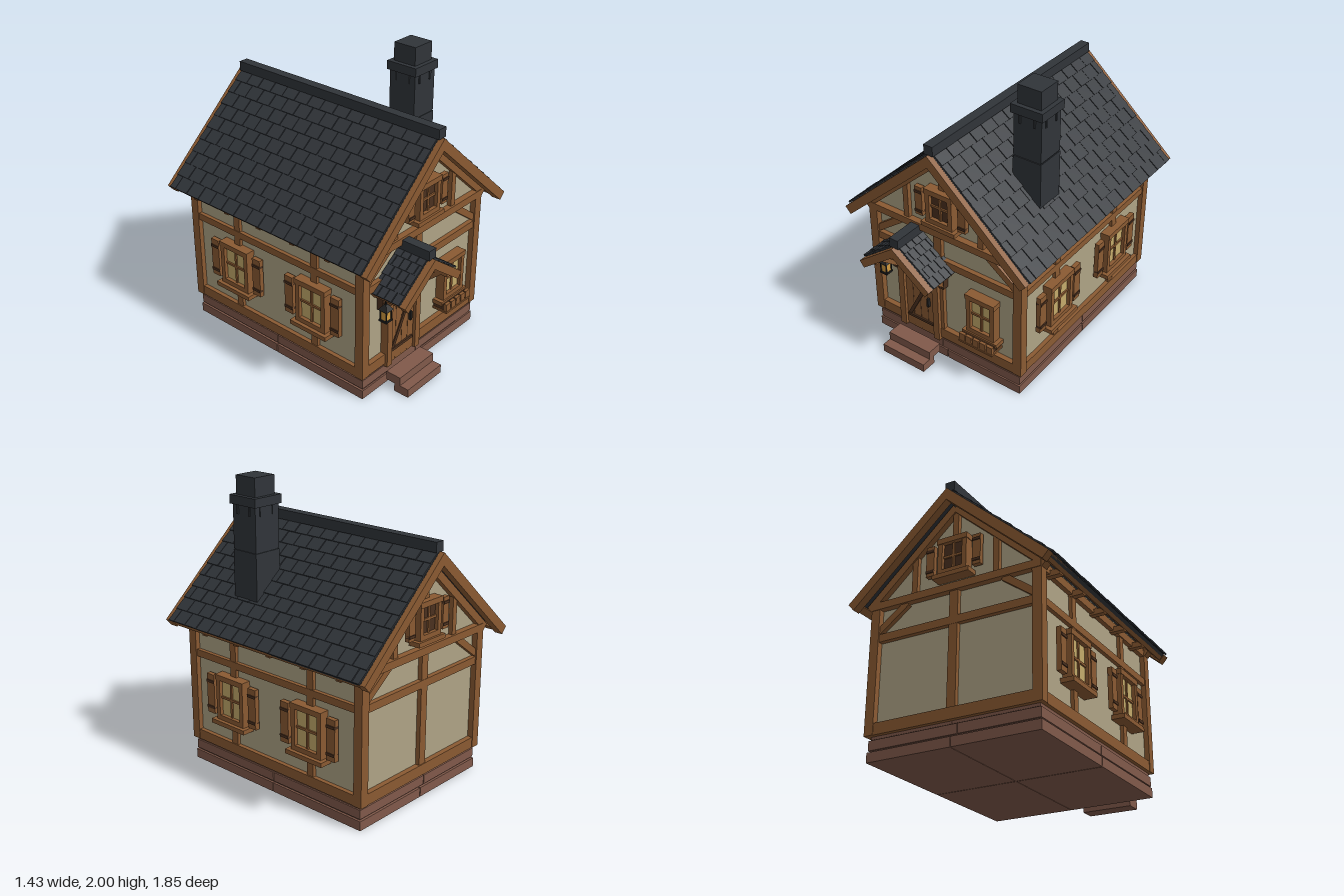
import * as THREE from 'three';
import { mergeGeometries } from 'three/addons/utils/BufferGeometryUtils.js';

const mat = (color) => new THREE.MeshStandardMaterial({ color, flatShading: true });
const WOOD = mat(0x8a5a32), DARK = mat(0x4a301f), PLASTER = mat(0xaea385), SLATE = mat(0x303439),
  STONE = mat(0x80594a), GLASS = mat(0xc4ab6b), IRON = mat(0x222222), GLOW = mat(0xd09a40);

function group(parent, name, x = 0, y = 0, z = 0, ry = 0) {
  const g = new THREE.Group();
  g.name = name;
  g.position.set(x, y, z);
  g.rotation.y = ry;
  parent.add(g);
  return g;
}

// Box given by its extents
function box(parent, name, m, x0, x1, y0, y1, z0, z1) {
  const mesh = new THREE.Mesh(new THREE.BoxGeometry(Math.abs(x1 - x0), y1 - y0, z1 - z0), m);
  mesh.position.set((x0 + x1) / 2, (y0 + y1) / 2, (z0 + z1) / 2);
  mesh.name = name;
  parent.add(mesh);
  return mesh;
}

// Slanted beam in the xy plane between two points
function beam(parent, name, m, ax, ay, bx, by, width, z0, z1) {
  const len = Math.hypot(bx - ax, by - ay);
  const mesh = box(parent, name, m, -len / 2, len / 2, -width / 2, width / 2, z0, z1);
  mesh.position.x = (ax + bx) / 2;
  mesh.position.y = (ay + by) / 2;
  mesh.rotation.z = Math.atan2(by - ay, bx - ax);
  return mesh;
}

// Pitched roof: deck, staggered shingles, barge boards, eave boards, ridge cap
function roof(parent, name, o) {
  const r = group(parent, name, o.x, o.y, 0);
  for (const s of [1, -1]) {
    const side = group(r, name + 'Slope');
    side.rotation.z = -s * o.angle;
    box(side, 'deck', SLATE, 0, s * o.len, -0.025, 0, o.z0, o.z1);
    const step = o.len / o.rows, tw = (o.z1 - o.z0) / o.cols, tiles = [];
    for (let i = 0; i < o.rows; i++) {
      const shift = (i % 2) * tw / 2;
      for (let j = 0; j <= o.cols; j++) {
        const a = Math.max(o.z0, o.z0 + j * tw - shift), b = Math.min(o.z1, o.z0 + (j + 1) * tw - shift);
        if (b - a < 0.01) continue;
        const g = new THREE.BoxGeometry(step * 1.12, 0.011, b - a - 0.005);
        g.rotateZ(s * 0.07);
        g.translate(s * (i + 0.5) * step, 0.006 + ((i * 7 + j * 5) % 3) * 0.0012, (a + b) / 2);
        tiles.push(g);
      }
    }
    const shingles = new THREE.Mesh(mergeGeometries(tiles), SLATE);
    shingles.name = 'shingles';
    side.add(shingles);
    for (const [a, b] of o.barges) box(side, 'bargeBoard', WOOD, 0, s * (o.len + 0.005), -o.barge, -0.001, a, b);
    box(side, 'eaveBoard', WOOD, s * (o.len - 0.045), s * o.len, -0.05, -0.002, o.barges[0][0], o.barges.at(-1)[1]);
  }
  box(r, 'ridgeCap', SLATE, -0.033, 0.033, -0.005, 0.06, o.z0, o.z1 + 0.02);
}

// Window on a wall facing +z; cy is the centre, w and h are half sizes of the frame
function windowUnit(parent, cx, cy, w, h, { shutters = true, sillDepth = 0.09, glass = GLASS } = {}) {
  const g = group(parent, 'window', cx, cy, 0), f = 0.032;
  box(g, 'glass', glass, -w + f, w - f, -h + f, h - f, 0, 0.04);
  for (const s of [1, -1]) box(g, 'frameSide', WOOD, s * w, s * (w - f), -h, h, 0, 0.065);
  box(g, 'frameTop', WOOD, -w - 0.005, w + 0.005, h - f, h + 0.004, 0, 0.07);
  box(g, 'frameBottom', WOOD, -w, w, -h, -h + f, 0, 0.065);
  box(g, 'mullion', WOOD, -0.008, 0.008, -h + f, h - f, 0, 0.05);
  box(g, 'transom', WOOD, -w + f, w - f, -0.008, 0.008, 0, 0.05);
  box(g, 'sill', WOOD, -w - 0.028, w + 0.028, -h - 0.03, -h, 0, sillDepth);
  if (shutters) for (const s of [1, -1]) {
    const a = s * (w + 0.035), b = s * (w + 0.035 + w * 0.56);
    box(g, 'shutter', WOOD, a, b, -h + 0.015, h - 0.02, 0.02, 0.052);
    for (const y of [-h * 0.62, h * 0.55]) box(g, 'shutterBand', DARK, a, b, y - 0.009, y + 0.009, 0.02, 0.058);
  }
}

// Timber framing shared by the front and back walls
function facade(parent, name, z, ry, postX) {
  const g = group(parent, name, 0, 0, z, ry), t = 0.04;
  box(g, 'sillBeam', WOOD, -0.598, 0.598, 0.16, 0.235, -0.02, t - 0.004);
  box(g, 'middleRail', WOOD, -0.56, 0.56, 0.76, 0.812, -0.02, t - 0.008);
  box(g, 'topRail', WOOD, -0.598, 0.598, 0.98, 1.03, -0.02, t + 0.004);
  box(g, 'middlePost', WOOD, postX - 0.03, postX + 0.03, 0.2, 1.0, -0.02, t - 0.01);
  box(g, 'gableMiddlePost', WOOD, -0.02, 0.02, 1.3, 1.56, -0.02, t - 0.01);
  for (const s of [1, -1]) {
    beam(g, 'brace', WOOD, s * 0.34, 0.985, s * 0.55, 0.83, 0.045, -0.02, t - 0.01);
    box(g, 'gablePost', WOOD, s * 0.27, s * 0.31, 1.02, 1.32, -0.02, t - 0.01);
    beam(g, 'gableRafter', WOOD, 0, 1.555, s * 0.62, 0.997, 0.05, -0.02, t);
  }
  windowUnit(g, 0, 1.212, 0.102, 0.12, { sillDepth: 0.08, glass: DARK });
  return g;
}

export function createModel() {
  const house = new THREE.Group();
  house.name = 'cottage';

  // Stone foundation in courses, split by joints
  const base = group(house, 'foundation');
  box(base, 'foundationCore', STONE, -0.57, 0.57, 0.002, 0.17, -0.785, 0.675);
  [[0, 0.063, 0.585], [0.074, 0.136, 0.58], [0.142, 0.17, 0.57]].forEach(([y0, y1, w], i) => {
    const d = w - 0.585, jx = i === 1 ? -0.04 : 0;
    for (const [x0, x1] of [[-w, jx - 0.003], [jx + 0.003, w]])
      for (const [z0, z1] of [[-0.802 - d, -0.063], [-0.057, 0.685 + d]])
        box(base, 'foundationCourse', STONE, x0, x1, y0, y1, z0, z1);
  });

  // Plaster body with its gables
  const outline = new THREE.Shape([[-0.567, 0.16], [0.567, 0.16], [0.567, 1.07], [0, 1.585], [-0.567, 1.07]]
    .map(([x, y]) => new THREE.Vector2(x, y)));
  const body = new THREE.Mesh(new THREE.ExtrudeGeometry(outline, { depth: 1.435, bevelEnabled: false }), PLASTER);
  body.position.z = -0.78;
  body.name = 'plasterWalls';
  house.add(body);
  for (const s of [1, -1]) for (const [z0, z1] of [[-0.82, -0.757], [0.632, 0.695]])
    box(house, 'cornerPost', WOOD, s * 0.537, s * 0.6, 0.16, 1.03, z0, z1);

  const front = facade(house, 'frontWall', 0.655, 0, -0.05);
  facade(house, 'backWall', -0.78, Math.PI, 0);

  // Side walls; local x runs along the wall
  for (const s of [1, -1]) {
    const g = group(house, s > 0 ? 'leftWall' : 'rightWall', s * 0.565, 0, -0.0625, s * Math.PI / 2);
    box(g, 'sillBeam', WOOD, -0.74, 0.74, 0.16, 0.23, -0.02, 0.031);
    box(g, 'middleRail', WOOD, -0.72, 0.72, 0.762, 0.81, -0.02, 0.028);
    box(g, 'topRail', WOOD, -0.74, 0.74, 0.975, 1.03, -0.02, 0.032);
    for (const z of [0.285, -0.395]) {
      const x = -s * (z + 0.0625);
      box(g, 'wallPost', WOOD, x - 0.026, x + 0.026, 0.2, 1.0, -0.02, 0.025);
      windowUnit(g, x, 0.545, 0.124, 0.155);
    }
    for (let i = 0; i < 5; i++) {
      const x = -s * (0.525 - i * 0.289);
      box(g, 'rafterTail', WOOD, x - 0.02, x + 0.02, 0.962, 1.0, 0, 0.1);
    }
  }

  // Front window with a planter box
  windowUnit(front, 0.3, 0.51, 0.108, 0.145, { shutters: false, sillDepth: 0.075 });
  const planter = group(front, 'planter', 0.298, 0, 0);
  box(planter, 'planterBox', DARK, -0.125, 0.125, 0.303, 0.35, 0, 0.1);
  box(planter, 'planterBase', WOOD, -0.133, 0.133, 0.295, 0.308, 0, 0.115);
  for (let i = 0; i < 5; i++)
    box(planter, 'planterBoard', WOOD, -0.13 + i * 0.0535, -0.085 + i * 0.0535, 0.305, 0.362, 0.09, 0.112);

  // Main roof
  roof(house, 'mainRoof', { x: 0, y: 1.64, angle: 0.733, len: 0.942, z0: -0.89, z1: 0.765, rows: 10, cols: 15,
    barge: 0.062, barges: [[-0.925, -0.87], [0.74, 0.803]] });

  // Chimney
  const chimney = group(house, 'chimney', 0.39, 0, 0.25);
  for (const [y0, y1, w] of [[1.15, 1.527, 0.102], [1.52, 1.54, 0.096], [1.534, 1.83, 0.1], [1.82, 1.878, 0.114], [1.87, 2, 0.084]])
    box(chimney, 'chimneyCourse', SLATE, -w, w, y0, y1, -w, w);
  for (let k = 0; k < 4; k++) {
    const face = group(chimney, 'chimneyFace', 0, 0, 0, k * Math.PI / 2);
    for (const x of [-0.055, 0.05]) box(face, 'chimneyCorbel', SLATE, x - 0.008, x + 0.008, 1.76, 1.825, 0.09, 0.106);
  }

  // Door with frame and ironwork
  const door = group(house, 'door', -0.21, 0, 0.655);
  box(door, 'doorLeaf', WOOD, -0.12, 0.12, 0.14, 0.69, 0, 0.034);
  for (let i = 1; i < 4; i++) box(door, 'plankGap', DARK, -0.122 + i * 0.06, -0.119 + i * 0.06, 0.15, 0.69, 0, 0.0355);
  for (const s of [1, -1]) box(door, 'doorPost', WOOD, s * 0.118, s * 0.165, 0.14, 0.7, 0, 0.056);
  box(door, 'lintel', WOOD, -0.17, 0.17, 0.688, 0.735, 0, 0.06);
  for (const y of [0.235, 0.612]) box(door, 'doorStrap', DARK, -0.105, 0.105, y - 0.01, y + 0.01, 0, 0.045);
  beam(door, 'doorBrace', DARK, -0.095, 0.24, 0.095, 0.605, 0.024, 0, 0.042);
  box(door, 'handle', IRON, 0.068, 0.082, 0.38, 0.445, 0, 0.055);

  // Porch roof on wall brackets
  roof(house, 'porchRoof', { x: -0.21, y: 0.955, angle: 0.645, len: 0.35, z0: 0.66, z1: 0.885, rows: 5, cols: 4,
    barge: 0.055, barges: [[0.66, 0.7], [0.88, 0.928]] });
  for (const s of [1, -1]) {
    const b = group(house, 'porchBracket', -0.21 + s * 0.19, 0, 0, -Math.PI / 2);
    box(b, 'bracketPost', DARK, 0.65, 0.7, 0.585, 0.76, -0.02, 0.02);
    box(b, 'bracketArm', WOOD, 0.65, 0.9, 0.735, 0.77, -0.02, 0.02);
    beam(b, 'bracketStrut', WOOD, 0.69, 0.615, 0.84, 0.745, 0.03, -0.018, 0.018);
  }

  // Hanging lantern
  const lantern = group(house, 'lantern', -0.445, 0, 0.745);
  box(lantern, 'lanternHook', IRON, -0.004, 0.004, 0.67, 0.76, -0.004, 0.004);
  box(lantern, 'lanternGlass', GLOW, -0.022, 0.022, 0.565, 0.64, -0.022, 0.022);
  box(lantern, 'lanternBase', IRON, -0.03, 0.03, 0.555, 0.568, -0.03, 0.03);
  for (const x of [-0.023, 0.023]) for (const z of [-0.023, 0.023])
    box(lantern, 'lanternBar', IRON, x - 0.004, x + 0.004, 0.56, 0.645, z - 0.004, z + 0.004);
  const cap = new THREE.Mesh(new THREE.CylinderGeometry(0.012, 0.048, 0.038, 4), IRON);
  cap.rotation.y = Math.PI / 4;
  cap.position.y = 0.656;
  cap.name = 'lanternCap';
  lantern.add(cap);

  // Steps
  box(house, 'lowerStep', STONE, -0.385, -0.04, 0, 0.06, 0.78, 0.89);
  box(house, 'upperStep', STONE, -0.385, -0.04, 0.058, 0.12, 0.715, 0.825);
  return house;
}
